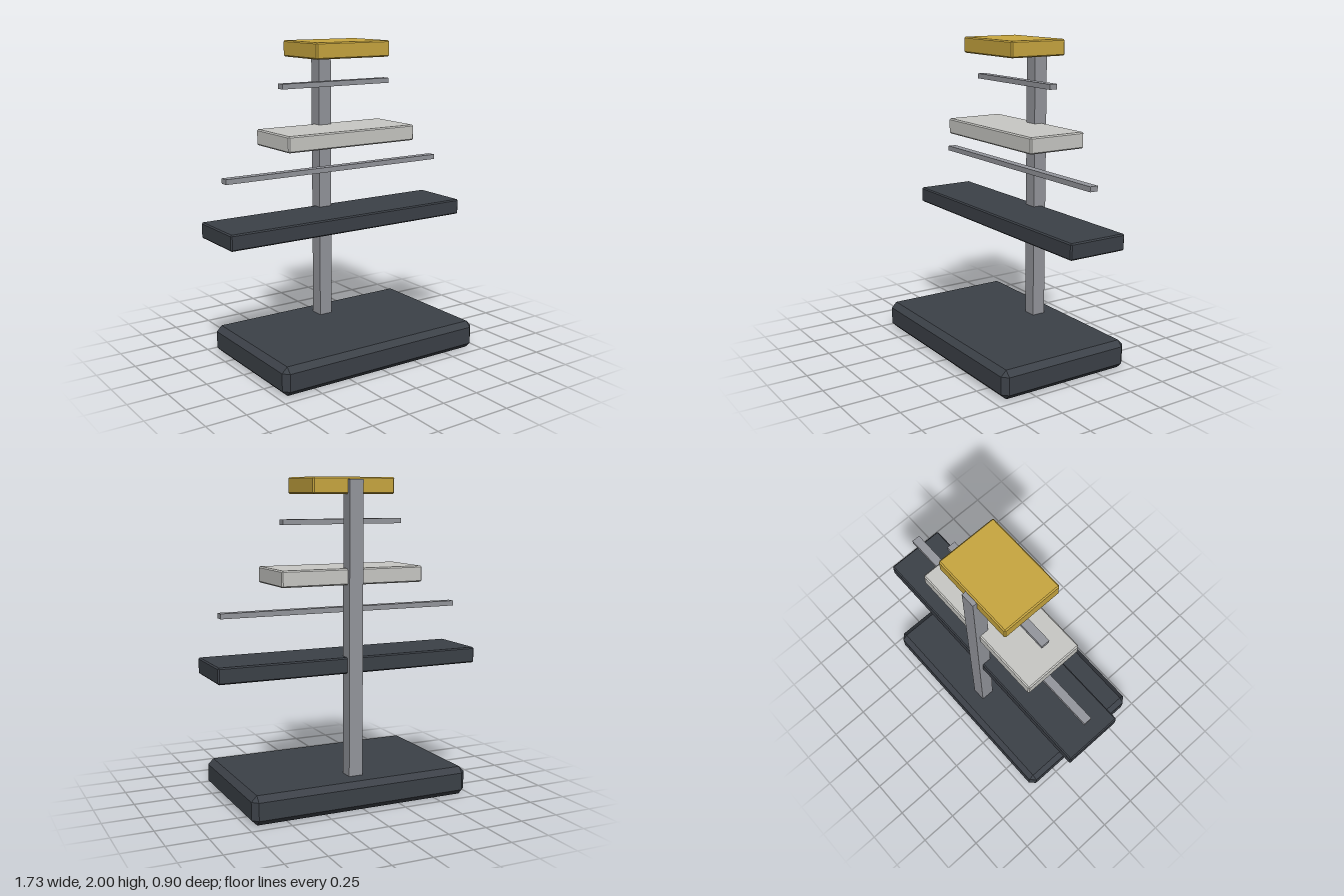
import * as THREE from 'three';
import { ConvexGeometry } from 'three/addons/geometries/ConvexGeometry.js';

// Box with every edge cut by a flat bevel of width c
function bevelBox(w, h, d, c) {
  const points = [];
  for (const sx of [-1, 1]) for (const sy of [-1, 1]) for (const sz of [-1, 1]) {
    const x = w / 2, y = h / 2, z = d / 2;
    points.push(
      new THREE.Vector3(sx * x, sy * (y - c), sz * (z - c)),
      new THREE.Vector3(sx * (x - c), sy * y, sz * (z - c)),
      new THREE.Vector3(sx * (x - c), sy * (y - c), sz * z)
    );
  }
  return new ConvexGeometry(points);
}

export function createModel() {
  const group = new THREE.Group();
  const material = (name, color) => {
    const m = new THREE.MeshStandardMaterial({ color });
    m.name = name;
    return m;
  };
  const charcoal = material('charcoal', 0x3c4148);
  const steel = material('steel grey', 0x95979d);
  const paleGrey = material('pale grey', 0xc9c9c5);
  const gold = material('gold', 0xc9a740);

  const add = (name, geometry, mat, y, z) => {
    const mesh = new THREE.Mesh(geometry, mat);
    mesh.name = name;
    mesh.position.set(0, y, z);
    group.add(mesh);
  };

  // Heavy foot and upright post towards the back
  add('base', bevelBox(1.44, 0.18, 0.9, 0.035), charcoal, 0.09, 0);
  add('post', new THREE.BoxGeometry(0.09, 1.83, 0.09), steel, 1.07, -0.27);

  // Shelves get narrower going up
  const shelfZ = -0.093;
  add('lowerShelf', bevelBox(1.727, 0.1, 0.39, 0.008), charcoal, 0.87, shelfZ);
  add('middleShelf', bevelBox(0.935, 0.1, 0.39, 0.008), paleGrey, 1.41, shelfZ);
  add('topShelf', bevelBox(0.536, 0.1, 0.39, 0.008), gold, 1.95, shelfZ);

  // Slim rails floating between the shelves
  add('lowerRail', new THREE.BoxGeometry(1.587, 0.032, 0.054), steel, 1.194, -0.108);
  add('upperRail', new THREE.BoxGeometry(0.794, 0.032, 0.054), steel, 1.734, -0.108);

  return group;
}
